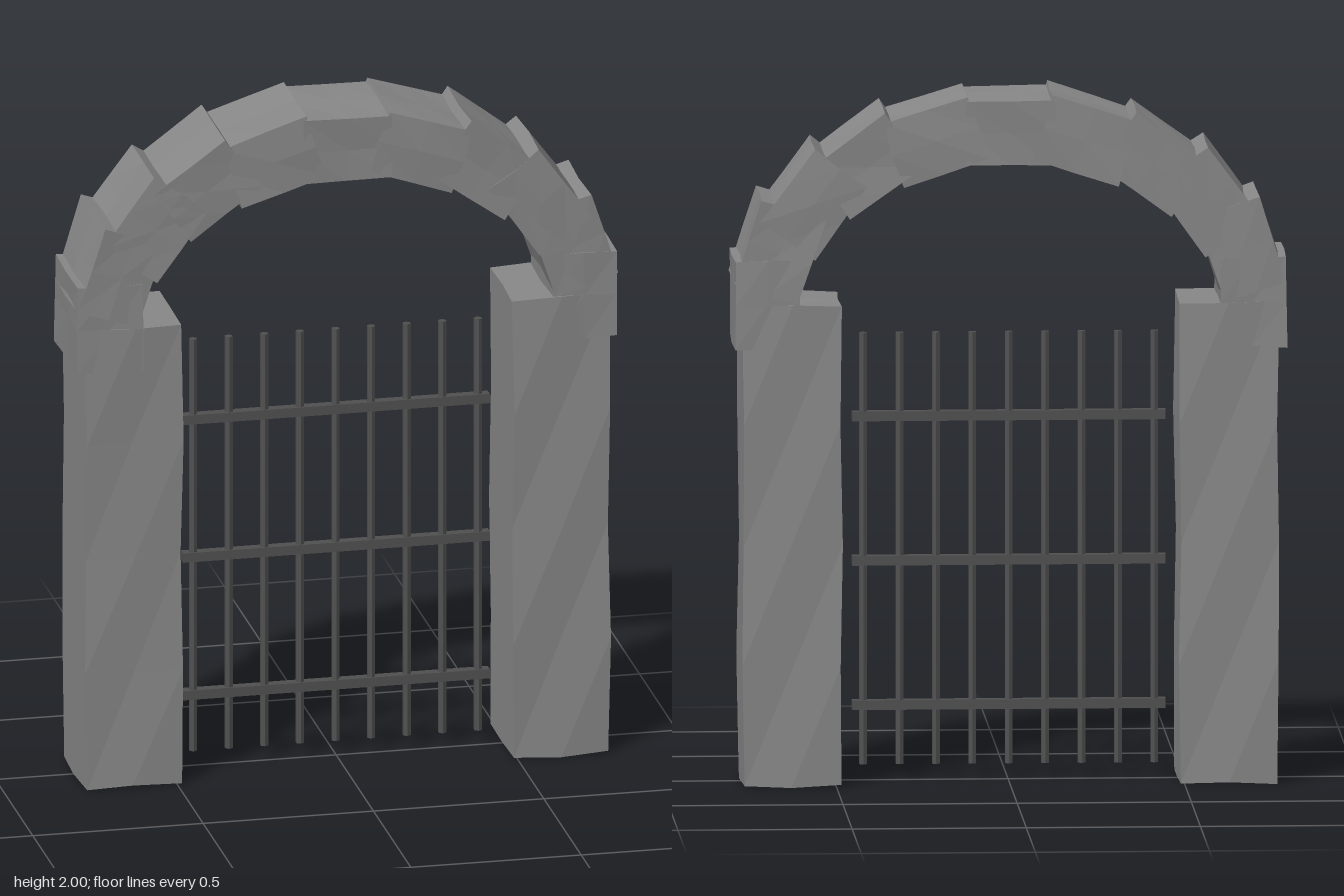
import * as THREE from 'three';

const stone = new THREE.MeshStandardMaterial({ color: 0x888888, flatShading: true });
const iron = new THREE.MeshStandardMaterial({ color: 0x505050, flatShading: true });

// Box with slightly uneven, hand-cut faces; the offset depends only on position, so seams stay closed
function roughBox(w, h, d, sx, sy, sz, seed, amount) {
  const geo = new THREE.BoxGeometry(w, h, d, sx, sy, sz);
  const p = geo.attributes.position;
  for (let i = 0; i < p.count; i++) {
    const x = p.getX(i), y = p.getY(i), z = p.getZ(i);
    const k = x * 17 + y * 7 + z * 23 + seed * 2.7;
    p.setXYZ(i, x + amount * Math.sin(k), y + amount * Math.sin(k * 1.7 + 1), z + amount * Math.sin(k * 1.3 + 2));
  }
  geo.computeVertexNormals();
  return geo;
}

function add(parent, name, geo, mat, x, y, z = 0) {
  const mesh = new THREE.Mesh(geo, mat);
  mesh.name = name;
  mesh.position.set(x, y, z);
  parent.add(mesh);
  return mesh;
}

export function createModel() {
  const model = new THREE.Group();
  model.name = 'archedGateway';

  // Stone pillars
  for (const [side, name] of [[1, 'leftPillar'], [-1, 'rightPillar']]) {
    add(model, name, roughBox(0.282, 1.392, 0.31, 2, 4, 2, side + 3, 0.004), stone, side * 0.627, 0.704);
  }

  // Arch stones set along a half ellipse, each turned by its angle
  const arch = new THREE.Group();
  arch.name = 'arch';
  model.add(arch);
  const count = 11;
  for (let i = 0; i < count; i++) {
    const a = (Math.PI * i) / (count - 1);
    const block = add(arch, 'archStone', roughBox(0.19, 0.258, 0.31, 2, 2, 2, i, 0.003), stone,
      0.697 * Math.cos(a), 1.4 + 0.495 * Math.sin(a));
    block.rotation.z = a;
  }

  // Iron gate: upright bars and cross rails
  const gate = new THREE.Group();
  gate.name = 'gate';
  model.add(gate);
  const barGeo = new THREE.CylinderGeometry(0.0125, 0.0125, 1.25, 6);
  for (let i = 0; i < 9; i++) add(gate, 'bar', barGeo, iron, -0.42 + i * 0.1045, 0.675);
  const railGeo = new THREE.BoxGeometry(0.9, 0.028, 0.03);
  for (const y of [0.222, 0.64, 1.058]) add(gate, 'rail', railGeo, iron, -0.002, y);

  return model;
}
